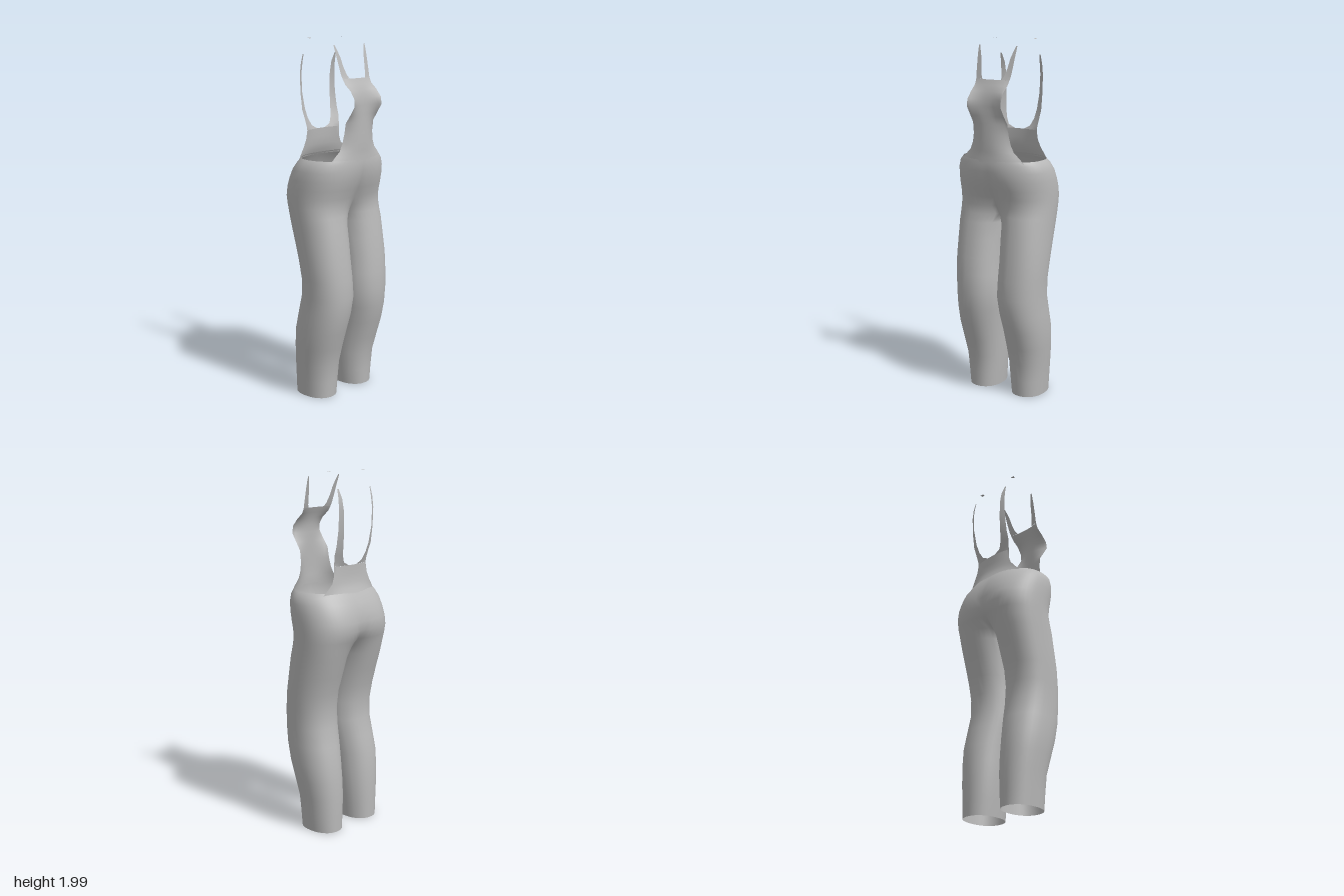
import * as THREE from 'three';
import { mergeGeometries, mergeVertices } from 'three/addons/utils/BufferGeometryUtils.js';

const N = 2.25; // roundness of the leg and hip sections

// Skin a list of equally long rows of [x, y, z] points
function skin(rows, flip = false) {
  const cols = rows[0].length, index = [];
  for (let i = 0; i < rows.length - 1; i++) {
    for (let j = 0; j < cols - 1; j++) {
      const a = i * cols + j, b = a + 1, c = a + cols, d = c + 1;
      if (flip) index.push(a, c, b, b, c, d);
      else index.push(a, b, c, b, d, c);
    }
  }
  const g = new THREE.BufferGeometry();
  g.setAttribute('position', new THREE.Float32BufferAttribute(rows.flat(2), 3));
  g.setIndex(index);
  return g;
}

// Weld pieces together so shading runs smoothly across seams
function weld(parts) {
  const g = mergeVertices(mergeGeometries(parts), 1e-4);
  g.computeVertexNormals();
  return g;
}

// Trouser sections: y, inner x, outer x, back z, front z (inner x < 0: both halves joined)
const sections = [
  [0.01, 0.05, 0.235, -0.15, 0.09], [0.1, 0.042, 0.242, -0.15, 0.095],
  [0.2, 0.035, 0.25, -0.15, 0.103], [0.3, 0.03, 0.262, -0.145, 0.13],
  [0.4, 0.025, 0.27, -0.135, 0.16], [0.5, 0.014, 0.268, -0.115, 0.185],
  [0.6, 0.005, 0.266, -0.092, 0.195], [0.7, 0.009, 0.27, -0.088, 0.19],
  [0.8, 0.012, 0.275, -0.105, 0.18], [0.9, 0.007, 0.276, -0.135, 0.166],
  [1.0, 0.002, 0.278, -0.165, 0.15], [1.05, -0.018, 0.279, -0.18, 0.14],
  [1.1, -0.06, 0.28, -0.2, 0.137], [1.15, -0.095, 0.281, -0.215, 0.147],
  [1.2, -0.13, 0.281, -0.215, 0.165], [1.25, -0.17, 0.28, -0.203, 0.18],
  [1.3, -0.21, 0.275, -0.185, 0.19], [1.34, -0.25, 0.262, -0.16, 0.191],
  [1.362, -0.24, 0.24, -0.147, 0.19],
];

function arc([y, xi, xo, zb, zf], side, inner) {
  const cx = (xo + xi) / 2, rx = (xo - xi) / 2, cz = (zf + zb) / 2, rz = (zf - zb) / 2;
  const end = xi < 0 ? Math.acos(-Math.pow(Math.max(cx, 0) / rx, N / 2)) : Math.PI * 5 / 6;
  const from = inner ? -end : end, to = inner ? end - 2 * Math.PI : -end;
  const steps = inner ? 8 : 28, row = [];
  const pow = v => Math.sign(v) * Math.pow(Math.abs(v), 2 / N);
  for (let k = 0; k <= steps; k++) {
    const t = from + (to - from) * k / steps;
    row.push([side * Math.max(0, cx + rx * pow(Math.cos(t))), y, cz + rz * pow(Math.sin(t))]);
  }
  return row;
}

// Chest panel: rows of y, half width, centre z, edge z
function panel(rows, dir) {
  return skin(rows.map(([y, w, zc, ze]) => {
    const row = [];
    for (let k = -8; k <= 8; k++) {
      const u = k / 8;
      row.push([dir * u * w, y, zc + (ze - zc) * Math.pow(Math.abs(u), 2.3)]);
    }
    return row;
  }));
}

// Strap: rows of y, inner x, outer x, inner z, outer z
function strap(rows, side, dir) {
  return skin(rows.map(([y, xi, xo, zi, zo]) => [0, 0.5, 1].map(u =>
    [side * (xi + (xo - xi) * u), y, zi + (zo - zi) * u])), side * dir < 0);
}

export function createModel() {
  const model = new THREE.Group();
  const cloth = new THREE.MeshStandardMaterial({ color: 0xb8b8b8, side: THREE.DoubleSide });
  cloth.name = 'grey cloth';
  const add = (name, geometry) => {
    const mesh = new THREE.Mesh(geometry, cloth);
    mesh.name = name;
    model.add(mesh);
  };

  // Legs and hips, with the inner leg walls stopping at the crotch
  const legs = [];
  for (const s of [1, -1]) {
    legs.push(skin(sections.map(r => arc(r, s, false)), s < 0));
    legs.push(skin(sections.filter(r => r[0] < 1.06).map(r => arc(r, s, true)), s < 0));
  }
  add('trousers', weld(legs));

  // Front bib with its two tapering straps
  const bib = [panel([
    [1.35, 0.2, 0.191, 0.135], [1.38, 0.172, 0.19, 0.14], [1.41, 0.14, 0.19, 0.145],
    [1.45, 0.122, 0.192, 0.148], [1.5, 0.112, 0.19, 0.153], [1.56, 0.11, 0.19, 0.162],
    [1.6, 0.108, 0.189, 0.19], [1.65, 0.108, 0.19, 0.222], [1.69, 0.106, 0.188, 0.218],
    [1.73, 0.102, 0.178, 0.188], [1.76, 0.103, 0.163, 0.152], [1.79, 0.106, 0.15, 0.135],
  ], 1)];
  const frontStrap = [
    [1.79, 0.06, 0.106, 0.144, 0.135], [1.81, 0.072, 0.11, 0.134, 0.128],
    [1.85, 0.083, 0.114, 0.12, 0.117], [1.9, 0.092, 0.118, 0.106, 0.104],
    [1.94, 0.105, 0.121, 0.094, 0.092], [1.965, 0.114, 0.122, 0.084, 0.084],
  ];
  for (const s of [1, -1]) bib.push(strap(frontStrap, s, 1));
  add('frontBib', weld(bib));

  // Back panel with its two straps
  const back = [panel([
    [1.35, 0.2, -0.154, -0.098], [1.38, 0.172, -0.14, -0.108], [1.41, 0.147, -0.132, -0.114],
    [1.45, 0.131, -0.127, -0.112], [1.5, 0.126, -0.126, -0.108],
  ], -1)];
  const backStrap = [
    [1.5, 0.03, 0.126, -0.126, -0.108], [1.52, 0.07, 0.128, -0.127, -0.11],
    [1.56, 0.09, 0.134, -0.138, -0.118], [1.61, 0.1, 0.137, -0.15, -0.135],
    [1.7, 0.108, 0.136, -0.163, -0.148], [1.8, 0.112, 0.136, -0.164, -0.152],
    [1.86, 0.114, 0.134, -0.154, -0.146], [1.91, 0.122, 0.131, -0.136, -0.134],
  ];
  for (const s of [1, -1]) back.push(strap(backStrap, s, -1));
  add('backPanel', weld(back));

  // Small loose strap scraps over the shoulders
  for (const s of [1, -1]) {
    const scrap = skin([
      [[s * 0.12, 1.996, -0.086], [s * 0.144, 1.998, -0.086]],
      [[s * 0.126, 2, -0.07], [s * 0.138, 1.994, -0.07]],
    ], s > 0);
    add(s > 0 ? 'leftShoulderScrap' : 'rightShoulderScrap', weld([scrap]));
  }
  return model;
}
